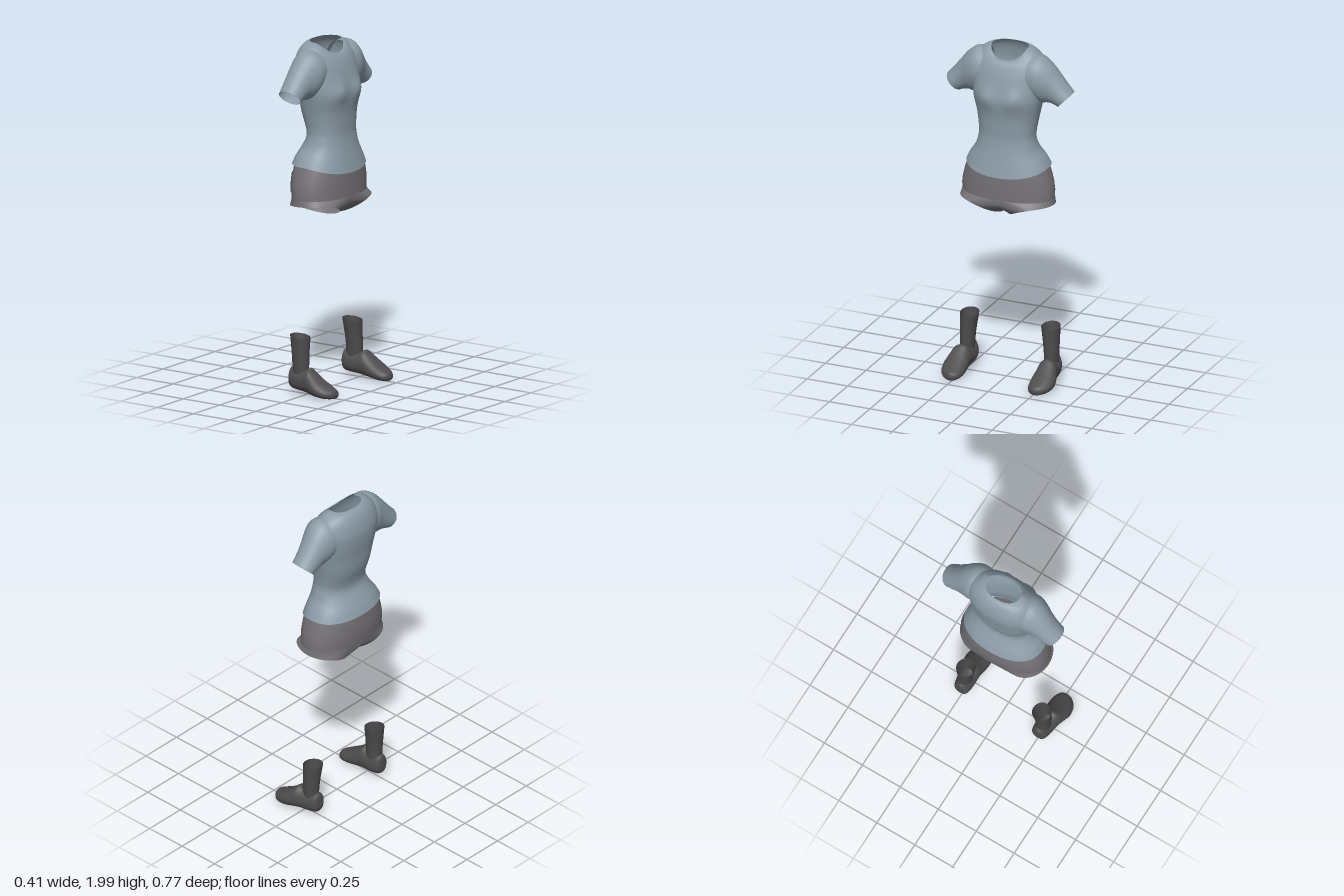
import * as THREE from 'three';

const material = (name, color) => {
  const m = new THREE.MeshStandardMaterial({ color, side: THREE.DoubleSide });
  m.name = name;
  return m;
};
const spow = (v, e) => Math.sign(v) * Math.pow(Math.abs(v), e);
const bell = (v, centre, width) => Math.exp(-(((v - centre) / width) ** 2));

// Catmull-Rom subdivision of a table of cross-section measures
function smooth(rows, steps) {
  const out = [];
  const last = rows.length - 1;
  for (let i = 0; i < last; i++) {
    const [a, b, c, d] = [rows[Math.max(i - 1, 0)], rows[i], rows[i + 1], rows[Math.min(i + 2, last)]];
    for (let s = 0; s < steps; s++) {
      const t = s / steps;
      out.push(b.map((_, k) => 0.5 * (2 * b[k] + (c[k] - a[k]) * t
        + (2 * a[k] - 5 * b[k] + 4 * c[k] - d[k]) * t * t
        + (3 * b[k] - a[k] - 3 * c[k] + d[k]) * t * t * t)));
    }
  }
  out.push(rows[last]);
  return out;
}

// Skin a list of point rings; closed rings share their seam for smooth normals
function loft(rings, closed = true) {
  const n = rings[0].length;
  const index = [];
  for (let r = 0; r < rings.length - 1; r++) {
    for (let i = 0; i < (closed ? n : n - 1); i++) {
      const j = (i + 1) % n;
      const [a, b, c, d] = [r * n + i, r * n + j, (r + 1) * n + i, (r + 1) * n + j];
      index.push(a, b, c, b, d, c);
    }
  }
  const g = new THREE.BufferGeometry();
  g.setAttribute('position', new THREE.Float32BufferAttribute(rings.flat(2), 3));
  g.setIndex(index);
  g.computeVertexNormals();
  return g;
}
const ring = (n, fn) => Array.from({ length: n }, (_, i) => fn((i / n) * Math.PI * 2));

// Shirt body, hem to neckline: y, back x, front x, half width, front dip
const torsoRows = [
  [1.305, -0.203, 0.135, 0.246, 0.045], [1.35, -0.185, 0.122, 0.222, 0.03],
  [1.4, -0.158, 0.108, 0.188, 0.01], [1.45, -0.133, 0.098, 0.171, 0],
  [1.5, -0.133, 0.095, 0.166, 0], [1.6, -0.163, 0.1, 0.18, 0],
  [1.7, -0.177, 0.113, 0.202, 0], [1.78, -0.19, 0.1, 0.213, 0],
  [1.85, -0.196, 0.082, 0.216, 0], [1.9, -0.19, 0.067, 0.209, 0.01],
  [1.94, -0.18, 0.057, 0.193, 0.03], [1.97, -0.166, 0.049, 0.168, 0.05],
  [1.99, -0.15, 0.04, 0.136, 0.06], [1.998, -0.13, 0.028, 0.108, 0.064],
];
const torso = () => loft(smooth(torsoRows, 4).map(([y, xb, xf, hz, dip]) => ring(56, (a) => {
  const c = Math.cos(a);
  const z = hz * spow(Math.sin(a), 0.88);
  let x = (xb + xf) / 2 + ((xf - xb) / 2) * spow(c, 0.88);
  if (c > 0) x += 0.018 * bell(y, 1.725, 0.055) * bell(Math.abs(z), 0.085, 0.055);
  return [x, y - dip * Math.pow(Math.max(0, c), 1.5), z];
})));

// Sleeve: top z, y, bottom z, y, centre x, half depth
const sleeveRows = [
  [0.135, 1.965, 0.14, 1.73, -0.05, 0.105], [0.195, 1.968, 0.18, 1.705, -0.048, 0.105],
  [0.25, 1.93, 0.21, 1.692, -0.05, 0.092], [0.292, 1.88, 0.237, 1.695, -0.055, 0.081],
  [0.338, 1.822, 0.266, 1.692, -0.058, 0.074], [0.383, 1.77, 0.302, 1.68, -0.058, 0.069],
];
const sleeve = (side) => loft(smooth(sleeveRows, 4).map(([tz, ty, bz, by, cx, hx]) => ring(32, (a) => {
  const t = (1 + Math.cos(a)) / 2;
  return [cx + hx * Math.sin(a), by + (ty - by) * t, side * (bz + (tz - bz) * t)];
})));

// Shorts above the legs: y, back x, front x, half width
const hipRows = [
  [1.12, -0.19, 0.124, 0.272], [1.16, -0.195, 0.124, 0.271], [1.2, -0.197, 0.124, 0.265],
  [1.25, -0.196, 0.123, 0.252], [1.31, -0.19, 0.12, 0.232],
];
function hipPoint(y, a, out = 0) {
  const i = Math.max(0, Math.min(3, hipRows.findIndex((r) => r[0] > y) - 1));
  const t = (y - hipRows[i][0]) / (hipRows[i + 1][0] - hipRows[i][0]);
  const [, xb, xf, hz] = hipRows[i].map((v, k) => v + (hipRows[i + 1][k] - v) * t);
  const c = spow(Math.sin(a), 0.9);
  return [(xb + xf) / 2 + ((xf - xb) / 2 + out) * c, y, (hz + out) * spow(Math.cos(a), 0.9)];
}
const hips = () => loft(hipRows.map(([y]) => ring(48, (a) => hipPoint(Math.min(y, 1.3099), a))));

// Shorts leg: from half the hips plus a crotch seam, out to a slanted hem
const leg = (side) => loft([0, 0.2, 0.4, 0.6, 0.8, 1].map((t) => ring(48, (a) => {
  const c = Math.cos(a);
  const s = Math.sin(a);
  const top = hipPoint(1.12, a);
  if (c < 0) {
    top[2] = 0;
    top[1] -= 0.08 * Math.pow(-c, 0.6);
  }
  const hem = [-0.022 + 0.148 * s, 1.043 + 0.042 * c + 0.022 * s * s + 0.012 * s, 0.152 + 0.126 * c];
  const p = top.map((v, k) => v + (hem[k] - v) * t);
  p[2] *= side;
  return p;
})));

// Thin panel lying on the hips
function panel(y0, y1, a0, a1, side, round = 0) {
  const rows = [];
  for (let r = 0; r <= 6; r++) {
    const y = y0 + ((y1 - y0) * r) / 6;
    const inset = round * Math.max(0, 1 - r / 2) ** 2;
    rows.push(Array.from({ length: 9 }, (_, i) => {
      const p = hipPoint(y, a0 + inset + ((a1 - a0 - 2 * inset) * i) / 8, 0.004);
      p[2] *= side;
      return p;
    }));
  }
  return loft(rows, false);
}

// Shoe, heel to toe: x, sole y, top y, half width, centre z
const shoeRows = [
  [-0.112, 0.085, 0.1, 0.004, 0.256], [-0.109, 0.055, 0.14, 0.028, 0.256],
  [-0.095, 0.037, 0.158, 0.043, 0.256], [-0.05, 0.03, 0.148, 0.052, 0.258],
  [0, 0.026, 0.152, 0.055, 0.262], [0.03, 0.021, 0.163, 0.059, 0.266],
  [0.06, 0.017, 0.14, 0.065, 0.269], [0.1, 0.012, 0.11, 0.071, 0.271],
  [0.15, 0.008, 0.08, 0.065, 0.268], [0.185, 0.009, 0.062, 0.046, 0.262],
  [0.2, 0.013, 0.052, 0.026, 0.26], [0.206, 0.028, 0.036, 0.004, 0.259],
];
const shoe = (side) => loft(smooth(shoeRows, 3).map(([x, y0, y1, hw, cz]) => ring(28, (a) => {
  const s = Math.sin(a);
  const narrow = 1 - 0.22 * Math.max(0, s);
  return [x, (y0 + y1) / 2 + ((y1 - y0) / 2) * spow(s, 0.8),
    side * (cz + hw * narrow * spow(Math.cos(a), 0.8))];
})));

// Sock: y, centre x, half depth, half width, centre z
const sockRows = [
  [0.1, -0.045, 0.048, 0.04, 0.258], [0.17, -0.043, 0.05, 0.042, 0.258],
  [0.25, -0.047, 0.053, 0.047, 0.255], [0.335, -0.052, 0.059, 0.054, 0.25],
];
const sock = (side) => loft(smooth(sockRows, 4).map(([y, cx, hx, hz, cz]) => ring(28, (a) => [
  cx + hx * Math.cos(a), y - (y > 0.2 ? 0.008 * Math.cos(a) : 0), side * (cz + hz * Math.sin(a)),
])));

export function createModel() {
  const model = new THREE.Group();
  const shirtBlue = material('shirt blue grey', 0x8b9ba6);
  const shortsGrey = material('shorts grey', 0x757276);
  const shoeGrey = material('shoe dark grey', 0x4e4e50);
  const sockGrey = material('sock dark grey', 0x4b4b4d);
  const add = (name, geometry, mat) => {
    const mesh = new THREE.Mesh(geometry, mat);
    mesh.name = name;
    model.add(mesh);
  };

  add('shirtBody', torso(), shirtBlue);
  add('shortsHips', hips(), shortsGrey);
  add('shortsFly', panel(1.13, 1.27, Math.PI / 2 - 0.1, Math.PI / 2 + 0.02, 1), shortsGrey);
  for (const [label, side] of [['front', 1], ['rear', -1]]) {
    const name = label === 'front' ? 'left' : 'right';
    add(name + 'Sleeve', sleeve(side), shirtBlue);
    add(name + 'ShortsLeg', leg(side), shortsGrey);
    add(name + 'BackPocket', panel(1.14, 1.25, -1.25, -0.7, side, 0.12), shortsGrey);
    add(name + 'SidePocket', panel(1.15, 1.29, 0.15, 0.6, side, 0.12), shortsGrey);
    add(name + 'Sock', sock(side), sockGrey);
    add(name + 'Shoe', shoe(side), shoeGrey);
  }
  return model;
}
